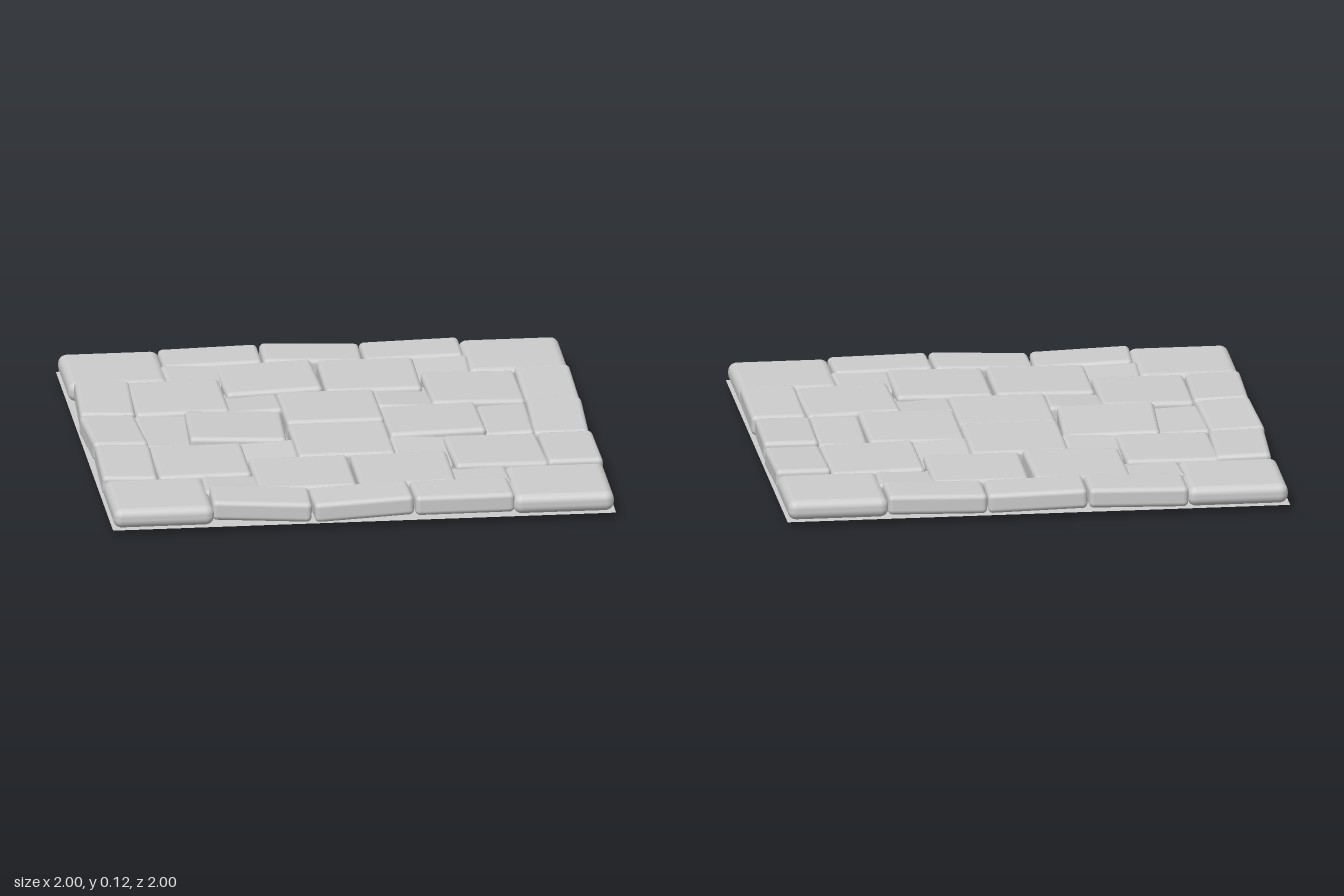
import * as THREE from 'three';
import { RoundedBoxGeometry } from 'three/addons/geometries/RoundedBoxGeometry.js';

const stoneMaterial = new THREE.MeshStandardMaterial({ color: 0xcccccc });
const sheetMaterial = new THREE.MeshStandardMaterial({ color: 0xcccccc, side: THREE.DoubleSide });
const THICK = 0.08;

// One worn paving stone: centre x/z, width, depth, height of centre, then tilt and yaw.
function stone(name, [x, z, w, d, y = 0.073, rx = 0, ry = 0, rz = 0], radius = 0.02) {
  const mesh = new THREE.Mesh(new RoundedBoxGeometry(w, THICK, d, 4, radius), stoneMaterial);
  mesh.name = name;
  mesh.position.set(x, y, z);
  mesh.rotation.set(rx, ry, rz);
  return mesh;
}

export function createModel() {
  const model = new THREE.Group();
  model.name = 'pavedFloor';

  // Mortar sheet under the stones
  const sheet = new THREE.Mesh(new THREE.PlaneGeometry(2, 2), sheetMaterial);
  sheet.name = 'mortarSheet';
  sheet.rotation.x = -Math.PI / 2;
  sheet.position.y = 0.03;
  model.add(sheet);

  // Square corner stones
  for (const sx of [-1, 1])
    for (const sz of [-1, 1])
      model.add(stone('cornerStone', [sx * 0.795, sz * 0.795, 0.4, 0.4, 0.071], 0.034));

  // Border stones, three along each side
  const borders = {
    frontBorderStone: [
      [-0.4, 0.873, 0.395, 0.22, 0.078, 0, -0.045, -0.045],
      [0, 0.878, 0.395, 0.22, 0.075, 0, 0.02, 0.045],
      [0.4, 0.877, 0.395, 0.22, 0.08, 0, 0.025, -0.005],
    ],
    backBorderStone: [
      [-0.4, -0.885, 0.395, 0.22, 0.077, 0, 0, 0.02],
      [0, -0.885, 0.395, 0.22, 0.077, 0, -0.03, -0.03],
      [0.4, -0.885, 0.395, 0.22, 0.077, 0, 0, 0.02],
    ],
    leftBorderStone: [
      [0.885, 0.4, 0.22, 0.395, 0.078, -0.03, 0, 0],
      [0.88, 0, 0.22, 0.395, 0.076, 0.035, -0.03, 0],
      [0.885, -0.4, 0.22, 0.395, 0.076, 0.045, 0, 0],
    ],
    rightBorderStone: [
      [-0.88, 0.4, 0.22, 0.395, 0.08, 0.02, -0.03, -0.03],
      [-0.883, 0, 0.22, 0.395, 0.08, -0.03, 0.035, -0.03],
      [-0.874, -0.4, 0.22, 0.395, 0.08, 0.02, -0.05, -0.03],
    ],
  };

  // Large stones of the inner field, then the narrow pair beside the middle
  const field = {
    centreStone: [
      [0, -0.205, 0.39, 0.4, 0.078, -0.02],
      [0, 0.195, 0.39, 0.4, 0.074],
    ],
    backFieldStone: [
      [-0.2, -0.595, 0.385, 0.385, 0.077, -0.02, 0.02, 0.03],
      [0.2, -0.595, 0.385, 0.385, 0.074, 0, -0.01, 0],
    ],
    frontFieldStone: [
      [-0.2, 0.59, 0.395, 0.385, 0.073, 0, 0, 0.01],
      [0.2, 0.59, 0.385, 0.385, 0.075, 0, 0, 0.015],
    ],
    sideFieldStone: [
      [-0.4, -0.005, 0.385, 0.385, 0.078, -0.03, -0.05, -0.03],
      [0.385, -0.005, 0.385, 0.385, 0.078, -0.035, 0.01, 0.02],
      [-0.585, -0.4, 0.375, 0.395, 0.073, 0.01, 0.01, 0.01],
      [0.59, -0.4, 0.375, 0.395, 0.072, -0.01, 0.01, -0.02],
      [-0.585, 0.4, 0.37, 0.39, 0.073, 0, 0, 0.01],
      [0.59, 0.4, 0.375, 0.385, 0.075, -0.01, 0.035, -0.02],
    ],
    narrowStone: [
      [-0.675, 0, 0.22, 0.385, 0.062, 0.02, 0.01, -0.04],
      [0.675, 0, 0.2, 0.385, 0.066, -0.02, -0.02, 0.03],
    ],
  };
  for (const set of [borders, field])
    for (const [name, rows] of Object.entries(set))
      for (const row of rows) model.add(stone(name, row));

  // Small sunken filler stones, dipping toward the middle of each quarter
  for (const sx of [-1, 1])
    for (const sz of [-1, 1]) {
      model.add(stone('innerFillerStone',
        [sx * 0.335, sz * 0.335, 0.3, 0.3, 0.06, sz * 0.06, 0, -sx * 0.05]));
      model.add(stone('outerFillerStone',
        [sx * 0.49, sz * 0.68, 0.24, 0.24, 0.064, -sz * 0.04, sx * sz * 0.03, sx * 0.04]));
    }
  return model;
}
